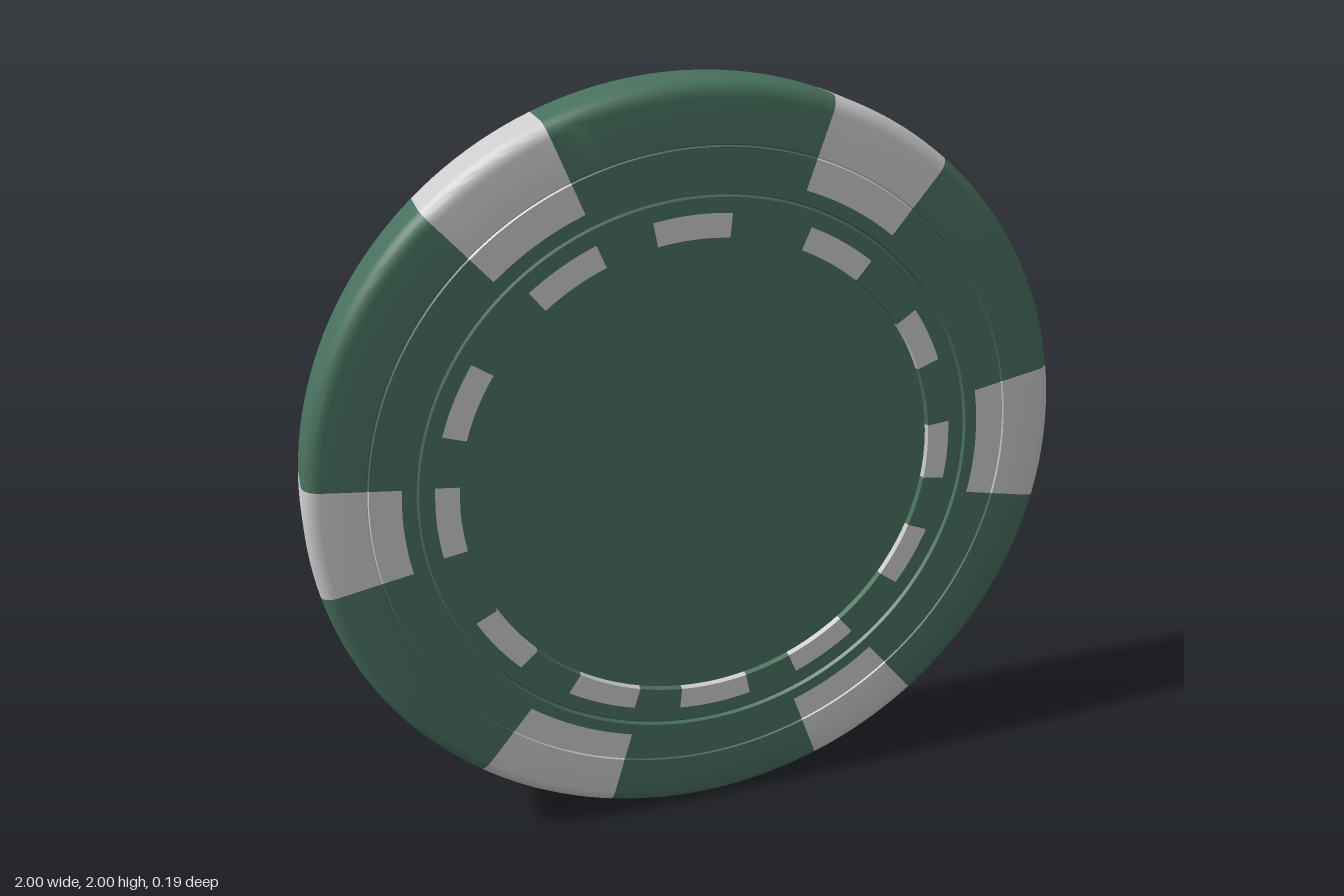
import * as THREE from 'three';
import { toCreasedNormals } from 'three/addons/utils/BufferGeometryUtils.js';

const green = new THREE.MeshStandardMaterial({ color: 0x48705e });
const pale = new THREE.MeshStandardMaterial({ color: 0xcccccc });

const HALF = 0.093; // half thickness
const ROUND = 0.04; // edge rounding

// Start and end angles in degrees, counter-clockwise from +x
const rimPatches = [[-11, 11.5], [51, 71], [112.5, 132], [174, 191], [231, 254], [290, 309.5]];
const faceDashes = [
  [-8, 6], [21.5, 35], [51, 67], [84.5, 101], [113, 129], [147, 163],
  [174, 190], [207.5, 223], [236.5, 253], [264, 281], [293, 309], [324.5, 339],
];

// Revolve a profile of [radius, z] about the z axis between two angles
function sector(profile, from, to, material, name) {
  const points = profile.map(([r, z]) => new THREE.Vector2(r, z));
  const segments = Math.max(4, Math.round((to - from) / 2));
  const geometry = new THREE.LatheGeometry(points, segments,
    THREE.MathUtils.degToRad(from + 90), THREE.MathUtils.degToRad(to - from));
  geometry.rotateX(Math.PI / 2);
  const mesh = new THREE.Mesh(toCreasedNormals(geometry, 0.45), material);
  mesh.name = name;
  return mesh;
}

// Full ring with pale sectors and green sectors between them
function stripedRing(profile, spans, name, paleName) {
  const ring = new THREE.Group();
  ring.name = name;
  spans.forEach(([from, to], i) => {
    const next = i + 1 < spans.length ? spans[i + 1][0] : spans[0][0] + 360;
    ring.add(sector(profile, from, to, pale, paleName));
    ring.add(sector(profile, to, next, green, name + 'Gap'));
  });
  return ring;
}

// Rim cross-section, front half: rounded edge, fine groove, flat land
function rimProfile() {
  const front = [];
  for (let i = 0; i <= 6; i++) {
    const a = (i / 6) * Math.PI / 2;
    front.push([1 - ROUND + ROUND * Math.cos(a), HALF - ROUND + ROUND * Math.sin(a)]);
  }
  front.push([0.853, HALF], [0.85, HALF - 0.004], [0.847, HALF], [0.77, HALF]);
  const back = front.map(([r, z]) => [r, -z]).reverse();
  return [...back, ...front];
}

// Everything inside the rim on one side
function createFace(name) {
  const face = new THREE.Group();
  face.name = name;
  const step = [[0.77, HALF], [0.738, HALF], [0.734, HALF - 0.01], [0.728, HALF - 0.006], [0.69, HALF - 0.006]];
  const dashBand = [[0.69, HALF - 0.006], [0.63, HALF - 0.006], [0.628, HALF - 0.022]];
  const disc = [[0.628, HALF - 0.022], [0, HALF - 0.022]];
  face.add(sector(step, 0, 360, green, 'steppedRing'));
  face.add(stripedRing(dashBand, faceDashes, 'dashRing', 'dash'));
  face.add(sector(disc, 0, 360, green, 'centreDisc'));
  return face;
}

export function createModel() {
  const chip = new THREE.Group();
  chip.name = 'chip';
  chip.add(stripedRing(rimProfile(), rimPatches, 'rim', 'rimPatch'));
  const back = createFace('backFace');
  back.rotation.y = Math.PI;
  chip.add(createFace('frontFace'), back);
  chip.position.y = 1;

  const model = new THREE.Group();
  model.add(chip);
  return model;
}
